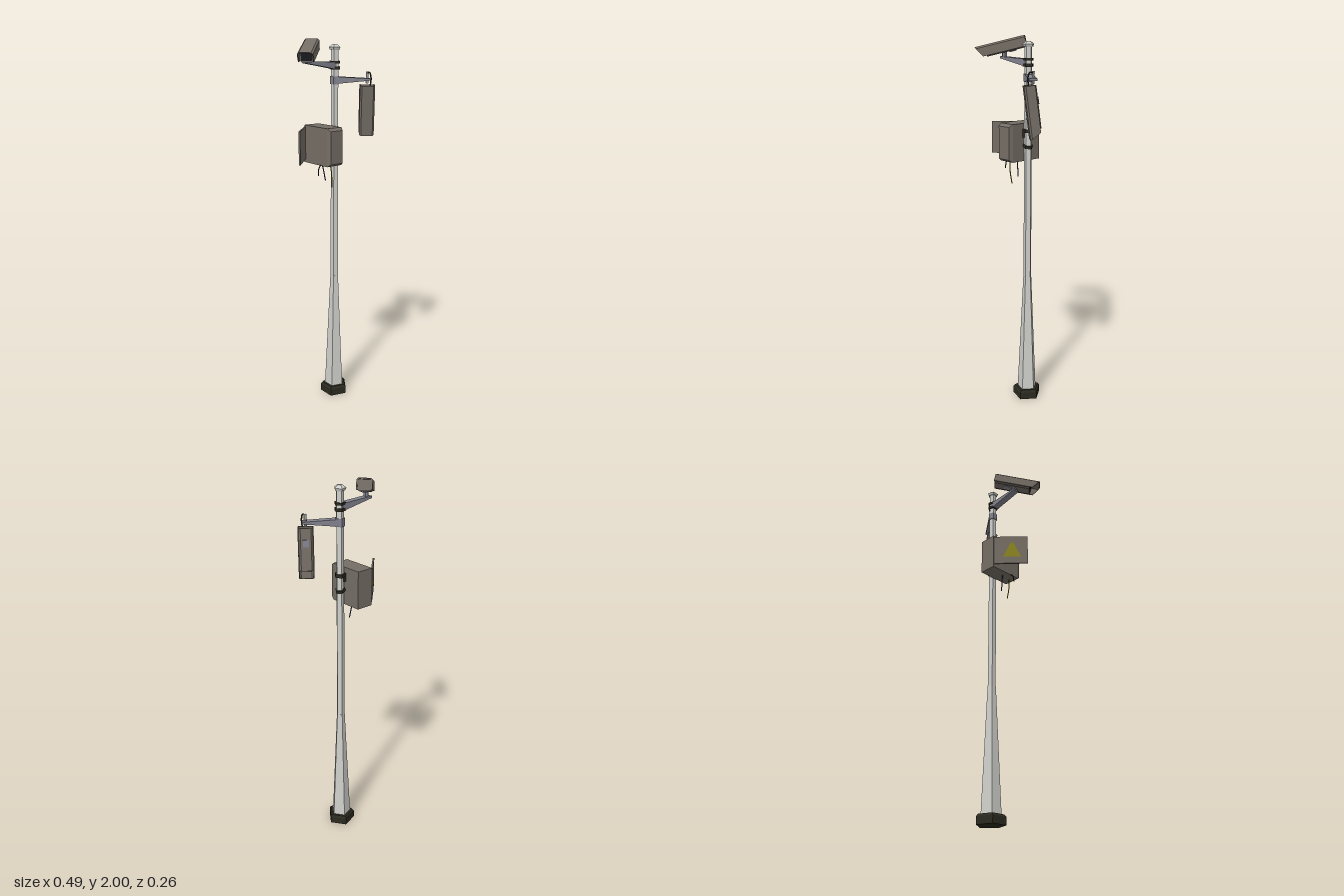
import * as THREE from 'three';

const mat = (name, color) => {
  const m = new THREE.MeshStandardMaterial({ color, flatShading: true });
  m.name = name;
  return m;
};

export function createModel() {
  const paleMetal = mat('pale metal', 0xcfcfcb);
  const armMetal = mat('arm metal', 0x82828e);
  const housing = mat('housing', 0x756e66);
  const dark = mat('dark rubber', 0x2b2a20);
  const glass = mat('glass', 0x1c1e22);
  const yellow = mat('warning yellow', 0x8c8420);
  const blue = mat('blue wire', 0x2c2f66);

  const root = new THREE.Group();
  const add = (name, geo, material, parent = root) => {
    const mesh = new THREE.Mesh(geo, material);
    mesh.name = name;
    parent.add(mesh);
    return mesh;
  };
  const group = (name, x, y, z) => {
    const g = new THREE.Group();
    g.name = name;
    g.position.set(x, y, z);
    root.add(g);
    return g;
  };

  // Five-sided post, all rings share its axis
  const post = group('post', 0.057, 0, -0.026);
  const ring = (name, y0, y1, r0, r1, material) => {
    const geo = new THREE.CylinderGeometry(r1, r0, y1 - y0, 5, 1, false, Math.PI / 2);
    geo.translate(0, (y0 + y1) / 2, 0);
    return add(name, geo, material, post);
  };
  ring('baseFoot', 0, 0.04, 0.078, 0.078, dark);
  ring('baseBevel', 0.04, 0.052, 0.078, 0.068, dark);
  ring('taperedPole', 0.05, 0.72, 0.054, 0.023, paleMetal);
  ring('upperPole', 0.72, 1.945, 0.022, 0.02, paleMetal);
  ring('capRim', 1.942, 1.955, 0.026, 0.032, paleMetal);
  ring('capTop', 1.955, 1.97, 0.032, 0.012, paleMetal);
  ring('armCollar', 1.77, 1.81, 0.026, 0.026, armMetal);
  [[1.875, 1.887], [1.845, 1.86], [1.512, 1.53]].forEach(([a, b]) =>
    ring('clampBand', a, b, 0.029, 0.029, dark));
  ring('tiltedBand', -0.008, 0.008, 0.027, 0.027, dark).position.y = 1.44;
  post.children[post.children.length - 1].rotation.z = -0.25;

  // Tapered bracket arms
  const arm = (name, angle, length, width, [rootTop, rootBottom, tipTop, tipBottom]) => {
    const s = new THREE.Shape([
      [0.005, rootBottom], [length, tipBottom], [length, tipTop], [0.005, rootTop],
    ].map(([x, y]) => new THREE.Vector2(x, y)));
    const geo = new THREE.ExtrudeGeometry(s, { depth: width, bevelEnabled: false });
    geo.translate(0, 0, -width / 2);
    add(name, geo, armMetal, post).rotation.y = angle;
  };
  arm('upperArm', Math.PI, 0.195, 0.037, [1.882, 1.845, 1.89, 1.88]);
  arm('lowerArm', -0.633, 0.183, 0.042, [1.808, 1.772, 1.798, 1.788]);

  // Camera: solid body under an overhanging hood, facing local +z
  const extrude = (pts, z0, z1) => {
    const geo = new THREE.ExtrudeGeometry(
      new THREE.Shape(pts.map(([x, y]) => new THREE.Vector2(x, y))),
      { depth: z1 - z0, bevelEnabled: false });
    geo.translate(0, 0, z0);
    return geo;
  };
  const camera = (name, x, y, z, yaw, pitch) => {
    const g = group(name, x, y, z);
    g.rotation.set(pitch, yaw, 0, 'YXZ');
    const bodyPts = [[-0.034, 0.024], [-0.034, -0.022], [-0.026, -0.03], [0.026, -0.03],
      [0.034, -0.022], [0.034, 0.024]];
    add('cameraBody', extrude(bodyPts, -0.128, 0.08), housing, g);
    const hoodPts = [[-0.039, -0.024], [-0.034, -0.024], [-0.034, 0.02], [-0.027, 0.026],
      [0.027, 0.026], [0.034, 0.02], [0.034, -0.024], [0.039, -0.024],
      [0.039, 0.022], [0.03, 0.031], [-0.03, 0.031], [-0.039, 0.022]];
    const hood = extrude(hoodPts, -0.132, 0.132);
    const p = hood.attributes.position;
    for (let i = 0; i < p.count; i++) {
      // Slanted front lip
      if (p.getZ(i) > 0.1) p.setZ(i, 0.132 - (0.031 - p.getY(i)) * 0.6);
    }
    hood.computeVertexNormals();
    add('cameraHood', hood, housing, g);
    add('frontGlass', new THREE.BoxGeometry(0.054, 0.04, 0.004), glass, g).position.set(0, -0.002, 0.081);
    add('mountPlate', new THREE.BoxGeometry(0.03, 0.006, 0.035), armMetal, g).position.set(0, -0.032, -0.055);
    return g;
  };
  camera('upperCamera', -0.128, 1.937, -0.008, -0.8, 0.235);
  camera('lowerCamera', 0.192, 1.635, 0.072, -0.6435, 1.7);
  add('upperCameraMount', new THREE.CylinderGeometry(0.013, 0.013, 0.03, 6), armMetal)
    .position.set(-0.118, 1.899, -0.022);

  // Hanging pin
  add('hangingPin', new THREE.CylinderGeometry(0.007, 0.007, 0.06, 6), paleMetal)
    .position.set(0.193, 1.803, 0.071);

  // Cables
  const cable = (name, pts, r, material) => {
    const curve = new THREE.CatmullRomCurve3(pts.map((q) => new THREE.Vector3(...q)));
    add(name, new THREE.TubeGeometry(curve, 12, r, 5), material);
  };
  cable('cameraCable', [[0.19, 1.765, 0.1], [0.19, 1.8, 0.105], [0.191, 1.828, 0.093],
    [0.193, 1.825, 0.076], [0.193, 1.8, 0.066]], 0.004, dark);
  cable('yellowWire', [[-0.02, 1.37, 0.03], [-0.015, 1.31, 0.035], [-0.008, 1.24, 0.028]], 0.003, yellow);
  cable('blueWire', [[-0.03, 1.37, -0.03], [-0.022, 1.33, -0.025], [-0.012, 1.27, -0.02]], 0.003, blue);
  cable('shortWire', [[-0.05, 1.37, 0.0], [-0.075, 1.35, 0.005], [-0.083, 1.31, 0.008]], 0.003, dark);

  // Equipment box with a narrowed front end
  const boxGeo = new THREE.BoxGeometry(0.094, 0.198, 0.21, 1, 1, 2);
  const bp = boxGeo.attributes.position;
  for (let i = 0; i < bp.count; i++) {
    const z = bp.getZ(i);
    if (Math.abs(z) < 0.01) bp.setZ(i, 0.085);
    else if (z > 0) bp.setXYZ(i, bp.getX(i) * 0.84, bp.getY(i) * 0.86, z);
  }
  boxGeo.computeVertexNormals();
  add('equipmentBox', boxGeo, housing).position.set(-0.016, 1.459, -0.028);
  add('boxBracket', new THREE.BoxGeometry(0.03, 0.03, 0.03), dark).position.set(0.036, 1.5, -0.026);

  // Half-open door, hinged at the back edge, with a warning sticker outside
  const door = group('boxDoor', -0.063, 1.463, -0.129);
  door.rotation.y = Math.atan2(-0.69, -0.72);
  add('doorPanel', new THREE.BoxGeometry(0.187, 0.172, 0.008), housing, door).position.x = 0.0935;
  const tri = new THREE.Shape([
    new THREE.Vector2(-0.05, -0.045), new THREE.Vector2(0.05, -0.045),
    new THREE.Vector2(0.008, 0.045), new THREE.Vector2(-0.008, 0.045),
  ]);
  add('warningSticker', new THREE.ShapeGeometry(tri), yellow, door).position.set(0.1, 0, 0.0055);

  return root;
}
